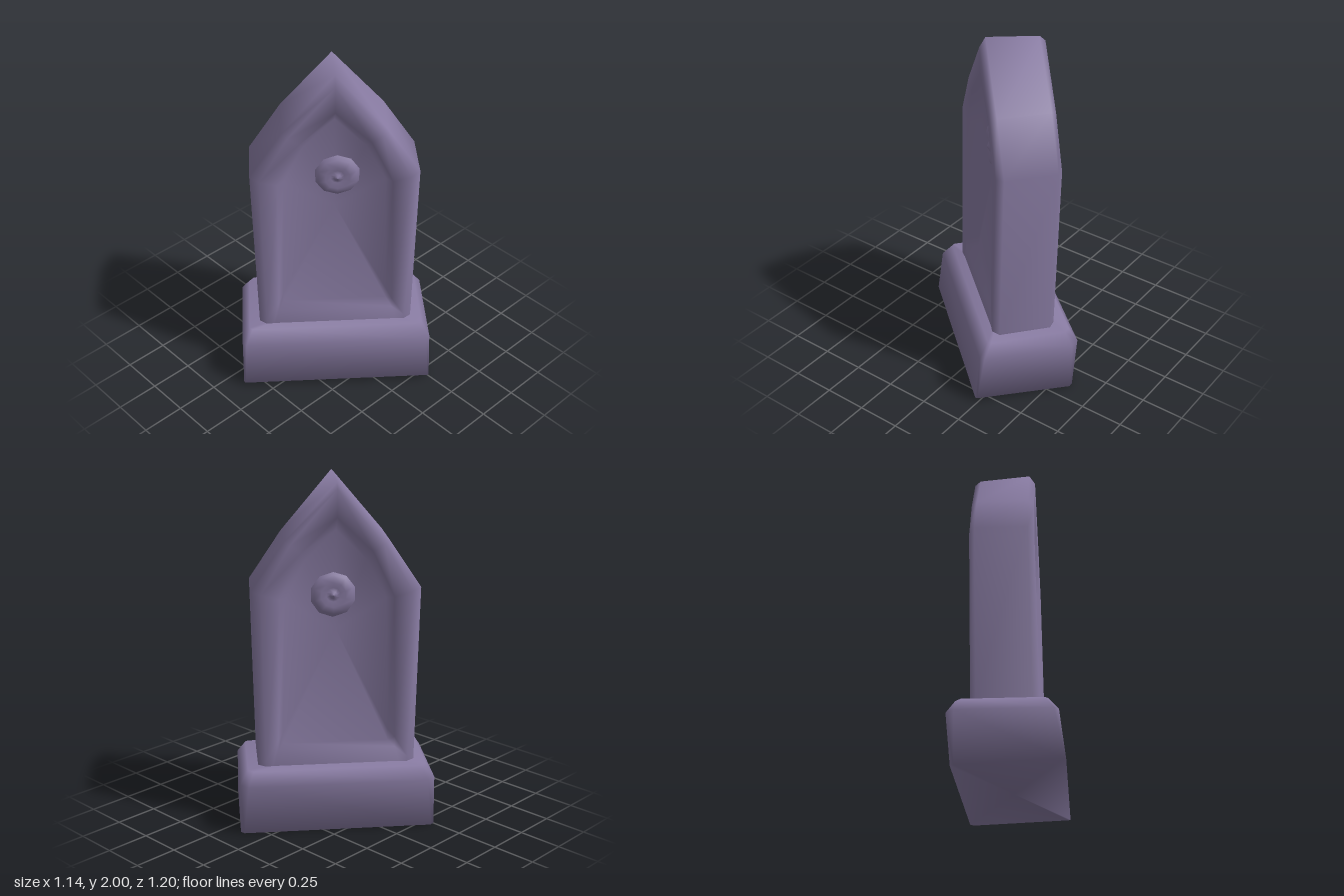
import * as THREE from 'three';

const stone = new THREE.MeshStandardMaterial({ color: 0x887ba2 });
stone.name = 'violet stone';

// Closed smooth skin over a list of rings (first ring faces the viewer, counter-clockwise)
function loft(rings, startCentre, endCentre) {
  const n = rings[0].length;
  const points = [...rings.flat(), startCentre, endCentre];
  const start = points.length - 2, end = points.length - 1, last = (rings.length - 1) * n;
  const index = [];
  for (let j = 0; j < n; j++) {
    const k = (j + 1) % n;
    index.push(start, j, k, end, last + k, last + j);
    for (let i = 0; i < rings.length - 1; i++) {
      const a = i * n, c = a + n;
      index.push(a + j, c + j, c + k, a + j, c + k, a + k);
    }
  }
  const geometry = new THREE.BufferGeometry();
  geometry.setAttribute('position', new THREE.Float32BufferAttribute(points.flat(), 3));
  geometry.setIndex(index);
  geometry.computeVertexNormals();
  return geometry;
}

function addMesh(parent, name, geometry) {
  const mesh = new THREE.Mesh(geometry, stone);
  mesh.name = name;
  parent.add(mesh);
  return mesh;
}

// Middle plane of the upright slab, which leans slightly back
const middle = (y) => -0.018 - 0.02 * y;

// Pointed arch outline from half of its corners, at a depth from the middle plane
function arch(half, depth) {
  const left = half.slice(0, -1).reverse().map(([x, y]) => [-x, y]);
  return [...half, ...left].map(([x, y]) => [x, y, middle(y) + depth]);
}

// Rectangle with cut corners at one height; the front edge can sit slightly higher
function plinthRing(w, front, back, c, y, tilt = 0) {
  return [
    [w, front - c * 0.5], [w, back + c], [w - c, back], [c - w, back],
    [-w, back + c], [-w, front - c * 0.5], [c * 0.5 - w, front], [w - c * 0.5, front],
  ].map(([x, z]) => [x, y + tilt * (z - back), z]);
}

export function createModel() {
  const model = new THREE.Group();
  model.name = 'gravestone';
  const body = new THREE.Group();
  body.name = 'turnedBody';
  body.rotation.y = 0.872;
  model.add(body);

  // Plinth with bevelled top
  addMesh(body, 'plinth', loft([
    plinthRing(0.505, 0.2, -0.275, 0.03, 0.37),
    plinthRing(0.55, 0.256, -0.32, 0.045, 0.295),
    plinthRing(0.553, 0.288, -0.288, 0.02, 0.003, 0.04),
  ], [0, 0.37, -0.03], [0, 0.015, 0]));

  // Upright pointed slab, recessed on both faces; its foot is sunk into the plinth
  const floor = [[0.3, 0.475], [0.3, 0.54], [0.28, 1.32], [0.17, 1.54], [0, 1.71]];
  const lip = [[0.33, 0.46], [0.33, 0.52], [0.315, 1.345], [0.195, 1.6], [0, 1.79]];
  const face = [[0.4, 0.2], [0.402, 0.4], [0.415, 1.375], [0.255, 1.645], [0, 1.945]];
  const outer = [[0.443, 0.2], [0.445, 0.38], [0.465, 1.39], [0.285, 1.66], [0, 2]];
  const outerBack = [...outer.slice(0, 4), [0, 1.975]];
  addMesh(body, 'archedSlab', loft([
    arch(floor, 0.1),
    arch(lip, 0.173),
    arch(face, 0.18),
    arch(outer, 0.147),
    arch(outerBack, -0.147),
    arch(face, -0.18),
    arch(lip, -0.173),
    arch(floor, -0.1),
  ], [0, 1.15, middle(1.15) + 0.095], [0, 1.15, middle(1.15) - 0.095]));

  // Round boss with a small raised centre, on each face
  const profile = [[0.14, -0.01], [0.11, 0.02], [0.07, 0.035], [0.04, 0.02], [0.02, 0.03], [0, 0.04]]
    .map(([r, h]) => new THREE.Vector2(r, h));
  const bossGeometry = new THREE.LatheGeometry(profile, 10);
  for (const side of [1, -1]) {
    const boss = addMesh(body, side > 0 ? 'frontBoss' : 'backBoss', bossGeometry);
    boss.position.set(0.015, 1.35, middle(1.35) + side * 0.095);
    boss.rotation.x = side * Math.PI / 2;
  }
  return model;
}
